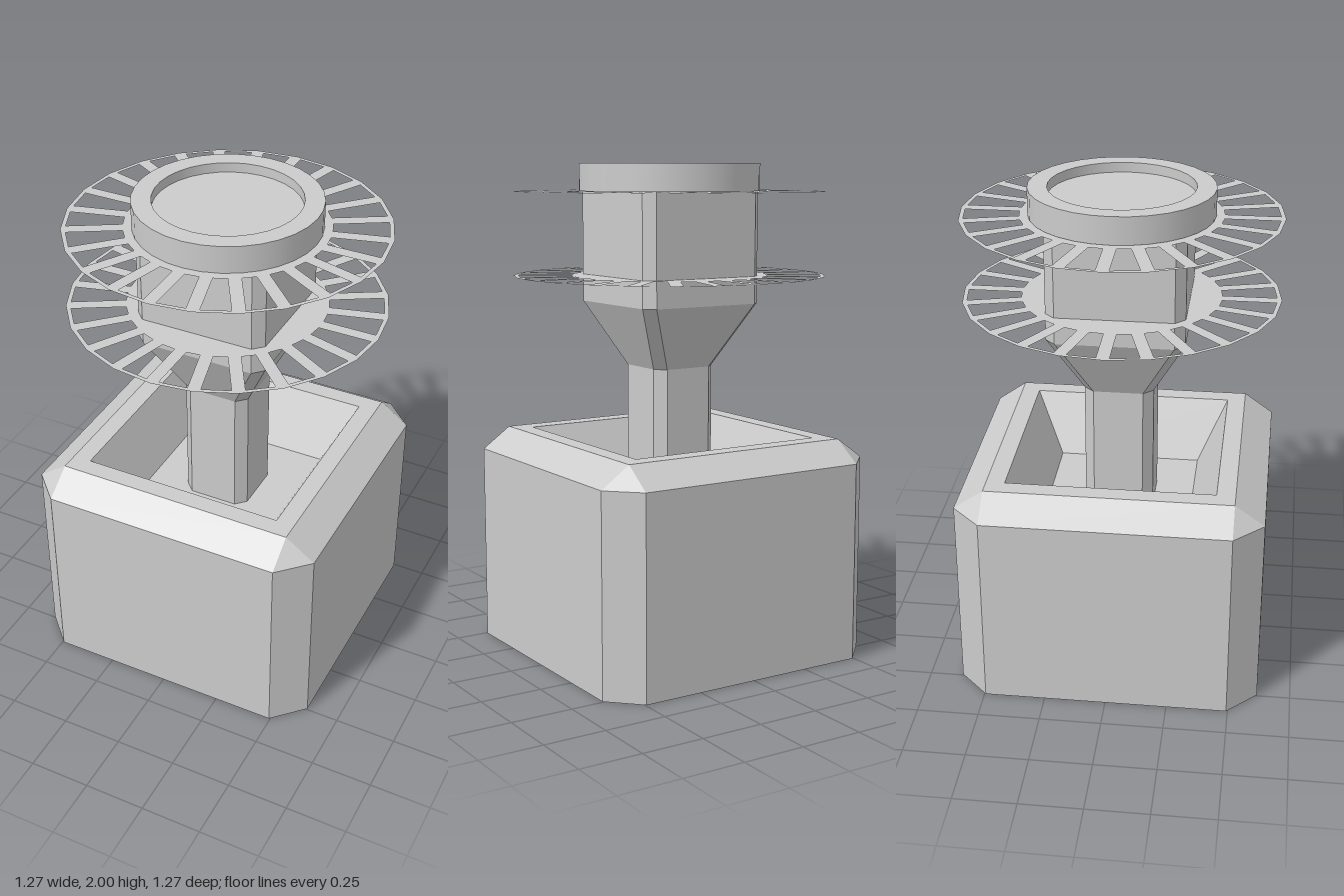
import * as THREE from 'three';

const grey = () => new THREE.MeshStandardMaterial({ color: 0xcccccc });

// Square cross-section with cut corners, counter-clockwise seen from above
function section([y, half, cut]) {
  const h = half, k = half - cut;
  return [[h, k], [h, -k], [k, -h], [-k, -h], [-h, -k], [-h, k], [-k, h], [k, h]]
    .map(([x, z]) => new THREE.Vector3(x, y, z));
}

// Flat-shaded loft through sections [y, halfWidth, cornerCut], closed at both ends
function loft(sections) {
  const rings = sections.map(section);
  const points = [];
  const tri = (a, b, c) => {
    const area = b.clone().sub(a).cross(c.clone().sub(a)).length();
    if (area > 1e-8) points.push(a, b, c);
  };
  for (let s = 0; s < rings.length - 1; s++) {
    for (let i = 0; i < 8; i++) {
      const j = (i + 1) % 8, lo = rings[s], hi = rings[s + 1];
      tri(lo[i], lo[j], hi[j]);
      tri(lo[i], hi[j], hi[i]);
    }
  }
  const first = rings[0], last = rings[rings.length - 1];
  for (let i = 1; i < 7; i++) {
    tri(first[0], first[i + 1], first[i]);
    tri(last[0], last[i], last[i + 1]);
  }
  const geometry = new THREE.BufferGeometry().setFromPoints(points);
  geometry.computeVertexNormals();
  return geometry;
}

// Thin flat wheel: 24-sided disc with a window between each pair of spokes
function spokedDisc() {
  const count = 24, outer = 0.635, rim = 0.615, hub = 0.4, halfSpoke = 0.025;
  const step = (Math.PI * 2) / count;
  const at = (r, a) => new THREE.Vector2(r * Math.cos(a), r * Math.sin(a));
  const shape = new THREE.Shape(Array.from({ length: count }, (_, i) => at(outer, i * step)));
  const inHub = Math.asin(halfSpoke / hub), inRim = Math.asin(halfSpoke / rim);
  for (let i = 0; i < count; i++) {
    const a = i * step, b = a + step;
    shape.holes.push(new THREE.Path([
      at(hub, a + inHub), at(hub, b - inHub), at(rim, b - inRim), at(rim, a + inRim),
    ]));
  }
  return new THREE.ShapeGeometry(shape).rotateX(-Math.PI / 2);
}

export function createModel() {
  const model = new THREE.Group();
  const add = (name, geometry, y = 0, material = grey()) => {
    const mesh = new THREE.Mesh(geometry, material);
    mesh.name = name;
    mesh.position.y = y;
    model.add(mesh);
  };

  // Planter-like base: bevelled block with a sloping square hollow
  add('base', loft([
    [0, 0.615, 0.12], [0.81, 0.615, 0.12], [0.895, 0.495, 0],
    [0.895, 0.42, 0], [0.65, 0.3, 0],
  ]));

  // Column flaring into the wide head
  add('column', loft([
    [0.65, 0.14, 0.04], [1.18, 0.14, 0.04], [1.44, 0.273, 0.04], [1.89, 0.273, 0.04],
  ]));

  // Round cap with a shallow recess; doubled profile points keep edges sharp
  const corners = [[0, 0], [0.367, 0], [0.367, 0.11], [0.29, 0.11], [0.29, 0.07], [0, 0.07]];
  const cap = new THREE.Group();
  cap.name = 'cap';
  cap.position.y = 1.89;
  for (let i = 0; i < corners.length - 1; i++) {
    const edge = [corners[i], corners[i + 1]].map(([r, y]) => new THREE.Vector2(r, y));
    const band = new THREE.Mesh(new THREE.LatheGeometry(edge, 32), grey());
    band.name = ['capUnderside', 'capSide', 'capRim', 'recessWall', 'recessFloor'][i];
    cap.add(band);
  }
  model.add(cap);

  // Two thin spoked wheels around the head
  for (const [name, y] of [['upperSpokedDisc', 1.888], ['lowerSpokedDisc', 1.55]]) {
    const material = grey();
    material.side = THREE.DoubleSide;
    add(name, spokedDisc(), y, material);
  }
  return model;
}
